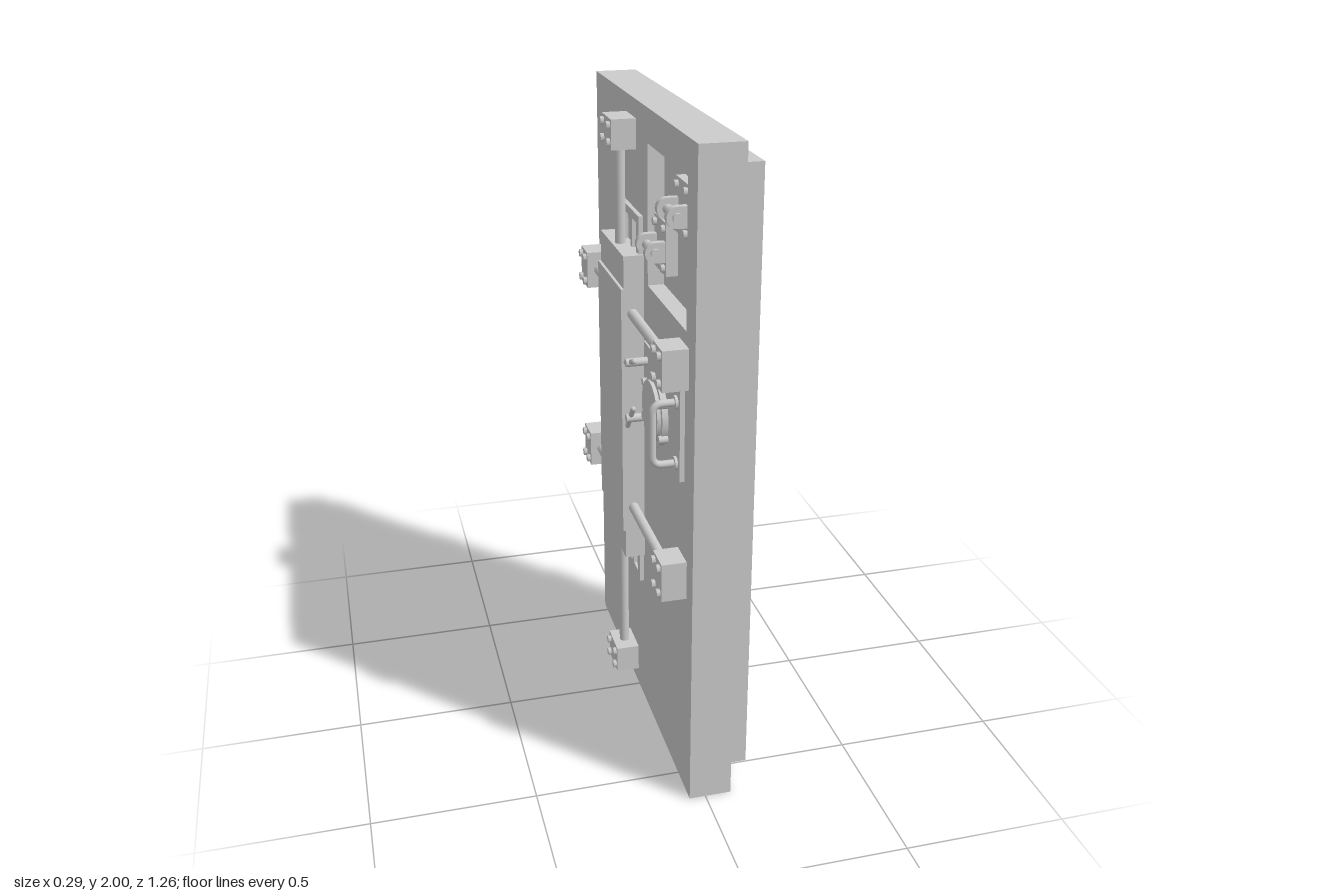
import * as THREE from 'three';

const material = new THREE.MeshStandardMaterial({ color: 0xcccccc });

export function createModel() {
  const root = new THREE.Group();
  root.name = 'vaultDoor';

  const add = (name, geo, parent = root) => {
    const mesh = new THREE.Mesh(geo, material);
    mesh.name = name;
    parent.add(mesh);
    return mesh;
  };
  // Box given by its limits on each axis
  const box = (name, x0, x1, y0, y1, z0, z1) => {
    const geo = new THREE.BoxGeometry(x1 - x0, y1 - y0, z1 - z0);
    geo.translate((x0 + x1) / 2, (y0 + y1) / 2, (z0 + z1) / 2);
    return add(name, geo);
  };
  // Cylinder centred at (x, y, z), lying along the given axis
  const rod = (name, axis, r, len, x, y, z, sides = 20) => {
    const geo = new THREE.CylinderGeometry(r, r, len, sides);
    if (axis === 'x') geo.rotateZ(Math.PI / 2);
    if (axis === 'z') geo.rotateX(Math.PI / 2);
    geo.translate(x, y, z);
    return add(name, geo);
  };
  // Rectangular plate with a rectangular opening; limits are [y0, y1, z0, z1]
  const frame = (name, x0, x1, outer, inner) => {
    const trace = (path, [y0, y1, z0, z1]) => {
      path.moveTo(-z0, y0);
      path.lineTo(-z0, y1);
      path.lineTo(-z1, y1);
      path.lineTo(-z1, y0);
      path.closePath();
      return path;
    };
    const shape = trace(new THREE.Shape(), outer);
    shape.holes.push(trace(new THREE.Path(), inner));
    const geo = new THREE.ExtrudeGeometry(shape, { depth: x1 - x0, bevelEnabled: false });
    geo.rotateY(Math.PI / 2).translate(x0, 0, 0);
    return add(name, geo);
  };

  // Door slab with a recess on the mechanism side, and the raised frame on the other
  box('doorSlab', 0, 0.08, 0, 2, -0.54, 0.63);
  frame('doorSkin', -0.05, 0, [0, 2, -0.54, 0.63], [1.48, 1.9, 0.125, 0.54]);
  frame('raisedFrame', 0.08, 0.145, [0.065, 1.935, -0.48, 0.575], [0.175, 1.83, -0.375, 0.475]);

  // Hinges
  const barrel = [[0, -0.07], [0.027, -0.07], [0.033, -0.063], [0.033, 0.063], [0.027, 0.07], [0, 0.07]];
  for (const y of [0.31, 0.99, 1.675]) {
    const geo = new THREE.LatheGeometry(barrel.map(([r, h]) => new THREE.Vector2(r, h)), 24);
    add('hingeBarrel', geo).position.set(-0.002, y, -0.598);
    rod('hingeNeck', 'z', 0.028, 0.06, 0, y, -0.568);
  }

  // Central gear housing on its mounting frames
  box('housing', -0.113, -0.05, 0.55, 1.56, -0.225, 0.08);
  box('housingCover', -0.122, -0.113, 0.65, 1.46, -0.23, 0.085);
  for (const [y0, y1] of [[0.45, 0.6], [1.5, 1.675]]) {
    frame('mountingFrame', -0.064, -0.05, [y0, y1, -0.215, 0.07], [y0 + 0.025, y1 - 0.025, -0.185, 0.04]);
    for (const z of [-0.125, -0.02]) box('rodGuide', -0.064, -0.05, y0, y1, z - 0.01, z + 0.01);
  }

  // Locking bars
  rod('verticalBar', 'y', 0.016, 1.75, -0.086, 1, -0.07);
  for (const y of [0.73, 1.38]) rod('horizontalBar', 'z', 0.016, 0.9, -0.086, y, 0.045);

  // Bolted guide blocks at the bar ends
  const guideBlock = (y, z, h, w) => {
    box('guideBlock', -0.125, -0.05, y - h / 2, y + h / 2, z - w / 2, z + w / 2);
    for (const sy of [-1, 1]) for (const sz of [-1, 1]) {
      rod('blockBolt', 'x', 0.013, 0.012, -0.13, y + sy * (h / 2 - 0.02), z + sz * (w / 2 - 0.02), 6);
    }
  };
  for (const y of [0.1, 1.9]) guideBlock(y, -0.07, 0.09, 0.12);
  for (const y of [0.73, 1.38]) for (const z of [-0.432, 0.522]) guideBlock(y, z, 0.12, 0.095);

  // Lock plate with round cover and radial studs
  box('lockPlate', -0.064, -0.05, 1.03, 1.31, 0.13, 0.535);
  rod('lockDisc', 'x', 0.105, 0.02, -0.072, 1.16, 0.31, 32);
  rod('lockDiscCap', 'x', 0.09, 0.014, -0.086, 1.16, 0.31, 32);
  for (let i = 0; i < 6; i++) {
    const a = (i + 0.5) * Math.PI / 3;
    rod('discStud', 'x', 0.012, 0.03, -0.076, 1.16 + 0.108 * Math.sin(a), 0.31 + 0.108 * Math.cos(a), 10);
  }

  // Two small turn keys beside the disc
  for (const y of [1.08, 1.26]) {
    rod('keySpindle', 'x', 0.013, 0.08, -0.09, y, 0.17, 12);
    const lever = add('keyLever', new THREE.CapsuleGeometry(0.008, 0.11, 4, 10));
    lever.position.set(-0.115, y, 0.165);
    lever.rotation.x = y < 1.1 ? 0.7 : 1.2;
  }

  // Pull handle
  const path = new THREE.CurvePath();
  const P = (x, y) => new THREE.Vector3(x, y, 0.5);
  path.add(new THREE.LineCurve3(P(-0.05, 1.075), P(-0.105, 1.075)));
  path.add(new THREE.QuadraticBezierCurve3(P(-0.105, 1.075), P(-0.134, 1.075), P(-0.134, 1.105)));
  path.add(new THREE.LineCurve3(P(-0.134, 1.105), P(-0.134, 1.23)));
  path.add(new THREE.QuadraticBezierCurve3(P(-0.134, 1.23), P(-0.134, 1.26), P(-0.105, 1.26)));
  path.add(new THREE.LineCurve3(P(-0.105, 1.26), P(-0.05, 1.26)));
  add('pullHandle', new THREE.TubeGeometry(path, 48, 0.011, 12));
  for (const y of [1.075, 1.26]) rod('handleFoot', 'x', 0.02, 0.01, -0.067, y, 0.5);

  // Two pivot brackets set in the recess
  for (const [y, z] of [[1.78, 0.437], [1.62, 0.21]]) {
    box('bracketPlate', -0.035, 0, y - 0.07, y + 0.085, z - 0.065, z + 0.065);
    for (const sy of [-0.05, 0.065]) for (const sz of [-0.045, 0.045]) {
      rod('bracketBolt', 'x', 0.012, 0.012, -0.04, y + sy, z + sz, 6);
    }
    for (const s of [-1, 1]) {
      box('bracketEar', -0.065, -0.03, y - 0.03, y + 0.03, z + s * 0.049 - 0.011, z + s * 0.049 + 0.011);
      rod('earEnd', 'z', 0.03, 0.022, -0.065, y, z + s * 0.049, 24);
    }
    rod('pivotPin', 'z', 0.014, 0.14, -0.065, y, z, 16);
  }
  return root;
}
